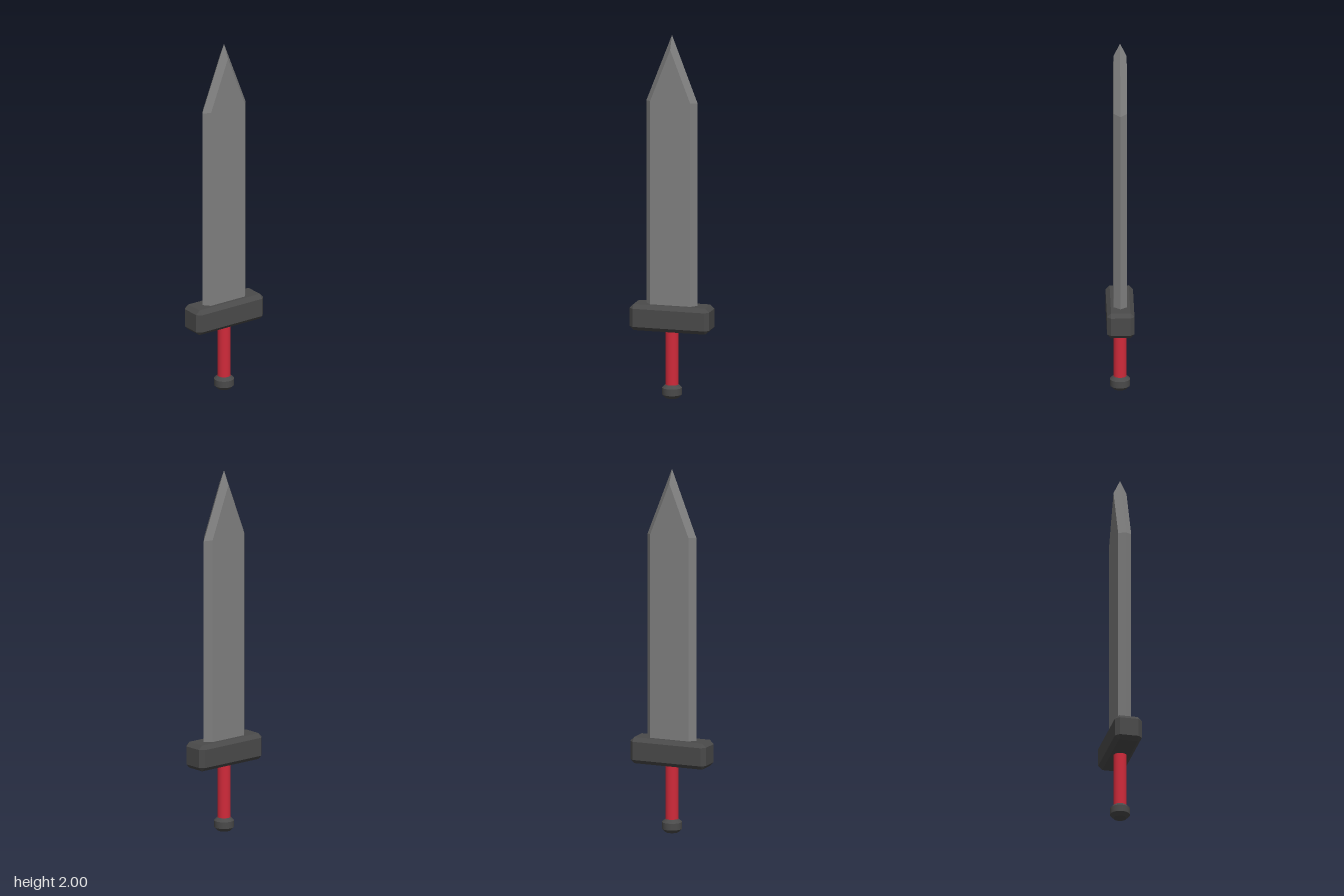
import * as THREE from 'three';
import { ConvexGeometry } from 'three/addons/geometries/ConvexGeometry.js';
import { toCreasedNormals } from 'three/addons/utils/BufferGeometryUtils.js';

const STEEL = 0x808080, DARK = 0x4a4a4a, RED = 0xd02a3a;

function part(name, geometry, color) {
  const mesh = new THREE.Mesh(geometry, new THREE.MeshStandardMaterial({ color }));
  mesh.name = name;
  return mesh;
}

// Box with every edge cut at 45 degrees: three points per corner
function chamferedBox(hx, hy, hz, c) {
  const points = [];
  for (const x of [-1, 1]) for (const y of [-1, 1]) for (const z of [-1, 1]) {
    points.push(
      new THREE.Vector3(x * hx, y * (hy - c), z * (hz - c)),
      new THREE.Vector3(x * (hx - c), y * hy, z * (hz - c)),
      new THREE.Vector3(x * (hx - c), y * (hy - c), z * hz));
  }
  return new ConvexGeometry(points);
}

// Six-sided blade: sharp side edges, flat front and back, pointed tip
function bladeGeometry() {
  const edge = 0.144, flat = 0.112, depth = 0.036, base = 0.5;
  const points = [new THREE.Vector3(0, 2, 0)];
  for (const s of [-1, 1]) {
    points.push(
      new THREE.Vector3(s * edge, base, 0),
      new THREE.Vector3(s * edge, 1.63, 0),
      new THREE.Vector3(0, 1.925, s * depth));
    for (const x of [-flat, flat]) {
      points.push(
        new THREE.Vector3(x, base, s * depth),
        new THREE.Vector3(x, 1.637, s * depth));
    }
  }
  return new ConvexGeometry(points);
}

export function createModel() {
  const sword = new THREE.Group();
  sword.name = 'sword';

  sword.add(part('blade', bladeGeometry(), STEEL));

  const guard = part('guard', chamferedBox(0.222, 0.072, 0.074, 0.022), DARK);
  guard.position.y = 0.443;
  sword.add(guard);

  const grip = part('grip', new THREE.CylinderGeometry(0.036, 0.036, 0.32, 32), RED);
  grip.position.y = 0.225;
  sword.add(grip);

  // Pommel: short disc with bevelled rims
  const profile = [[0, 0], [0.035, 0], [0.054, 0.019], [0.054, 0.056], [0.035, 0.075], [0, 0.075]]
    .map(([r, y]) => new THREE.Vector2(r, y));
  sword.add(part('pommel', toCreasedNormals(new THREE.LatheGeometry(profile, 32), 0.5), DARK));

  return sword;
}
